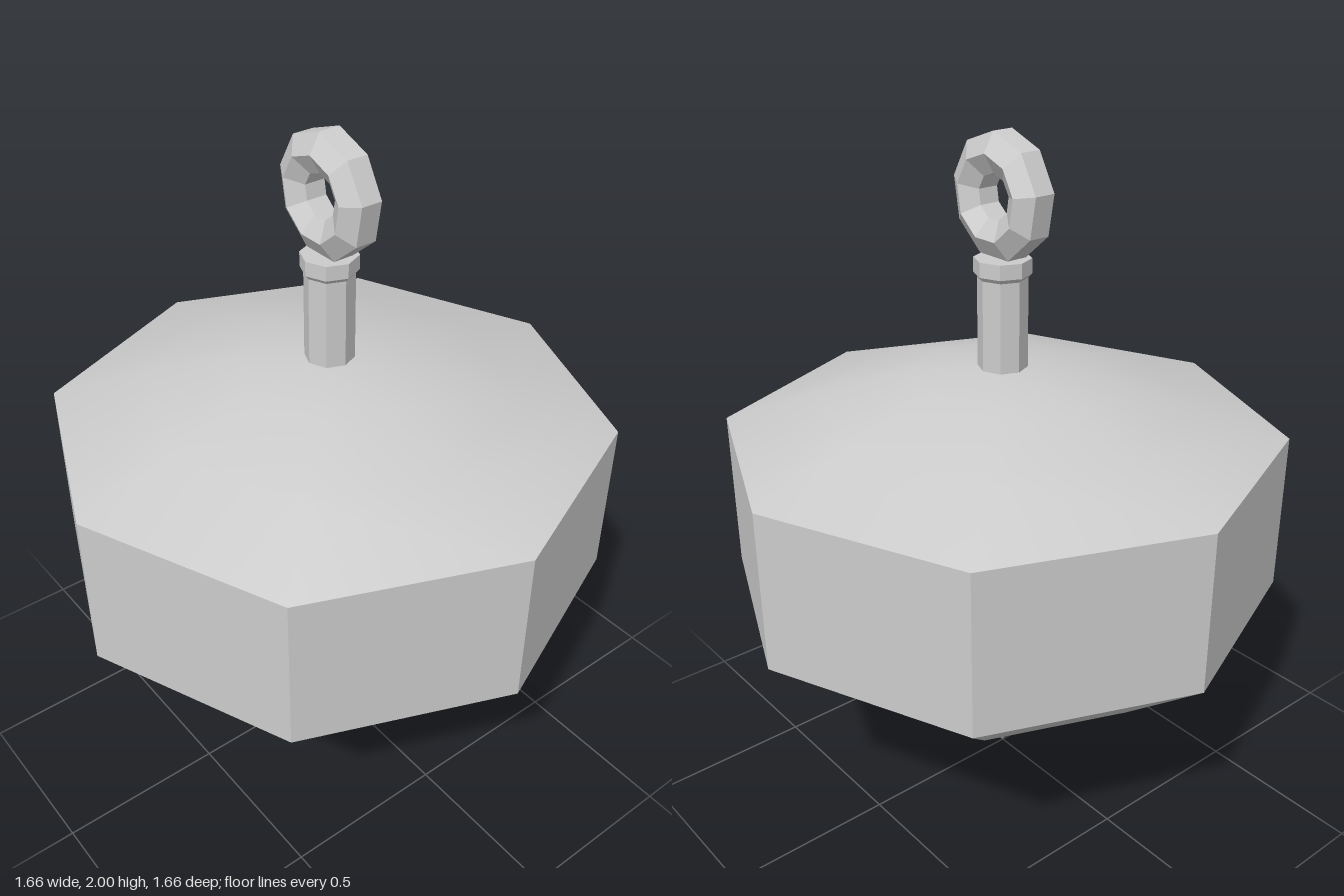
import * as THREE from 'three';
import { toCreasedNormals } from 'three/addons/utils/BufferGeometryUtils.js';

const smoothGrey = new THREE.MeshStandardMaterial({ color: 0xcccccc });
const flatGrey = new THREE.MeshStandardMaterial({ color: 0xcccccc, flatShading: true });

// Profile of [radius, height] pairs, listed from bottom to top, spun about y.
function lathe(profile, sides) {
  return new THREE.LatheGeometry(profile.map(([r, y]) => new THREE.Vector2(r, y)), sides);
}

export function createModel() {
  const model = new THREE.Group();
  model.name = 'spinningTop';

  const add = (name, geometry, material) => {
    const mesh = new THREE.Mesh(geometry, material);
    mesh.name = name;
    model.add(mesh);
    return mesh;
  };

  // Octagonal body: soft slopes, crisp side panels
  const body = lathe([
    [0, 0.265], [0.28, 0.265], [0.555, 0.435], [0.83, 0.66],
    [0.83, 1.14], [0.545, 1.235], [0.275, 1.313], [0.08, 1.337], [0, 1.337],
  ], 8);
  add('body', toCreasedNormals(body, 0.55), smoothGrey);

  // Pointed tip under the body
  add('tip', lathe([[0, 0], [0.03, 0.05], [0.165, 0.265]], 8), flatGrey);

  // Shaft with a collar at its top
  add('shaft', lathe([[0.072, 1.32], [0.072, 1.61]], 8), flatGrey);
  add('collar', lathe([
    [0.072, 1.6], [0.082, 1.612], [0.082, 1.655], [0, 1.655],
  ], 8), flatGrey);

  // Nine-sided ring with a hexagonal section, its hole facing sideways
  const section = [];
  for (let i = 0; i <= 6; i++) {
    const a = Math.PI / 6 + (i * Math.PI) / 3;
    section.push([0.119 + 0.064 * Math.cos(a), 0.064 * Math.sin(a)]);
  }
  const ringGeometry = lathe(section, 9).rotateX(-Math.PI / 2).rotateY(Math.PI / 2);
  add('ring', ringGeometry, flatGrey).position.y = 1.826;

  return model;
}
